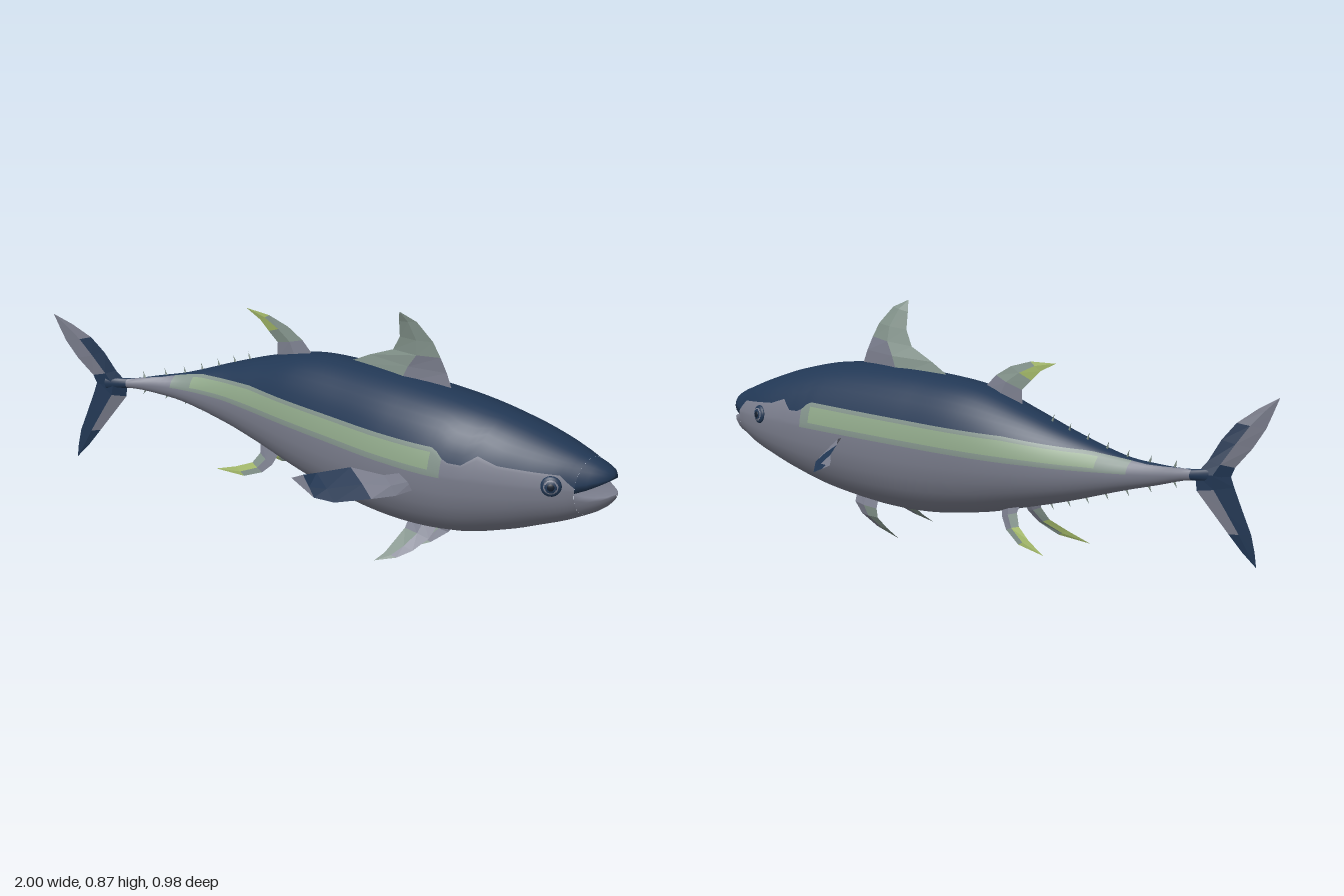
import * as THREE from 'three';

const mat = (name, color) => Object.assign(new THREE.MeshStandardMaterial({ color }), { name });
const navy = mat('navy', 0x213754);
const grey = mat('belly grey', 0x7b7e8d);
const pale = mat('pale green grey', 0x82928a);
const green = mat('stripe green', 0x8ea688);
const yellow = mat('fin yellow green', 0xa2b768);
const dark = mat('pupil dark', 0x131d2c);
const MATS = [navy, grey, pale, green, yellow, dark];

const V = (x, y, z) => new THREE.Vector3(x, y, z);

// Smooth interpolation through table rows [x, a, b, ...], ascending in x
function at(rows, x) {
  let i = 0;
  while (i < rows.length - 2 && x > rows[i + 1][0]) i++;
  const p = rows[i], q = rows[i + 1], o = rows[i - 1] || p, r = rows[i + 2] || q;
  const d = q[0] - p[0], t = (x - p[0]) / d, t2 = t * t, t3 = t2 * t;
  return p.slice(1).map((_, k) => {
    const c = k + 1;
    const m0 = (q[c] - o[c]) / (q[0] - o[0]) * d, m1 = (r[c] - p[c]) / (r[0] - p[0]) * d;
    return (2 * t3 - 3 * t2 + 1) * p[c] + (t3 - 2 * t2 + t) * m0 + (3 * t2 - 2 * t3) * q[c] + (t3 - t2) * m1;
  });
}
function linear(rows, x) {
  let i = 0;
  while (i < rows.length - 2 && x > rows[i + 1][0]) i++;
  const [a, b] = [rows[i], rows[i + 1]];
  return THREE.MathUtils.lerp(a[1], b[1], THREE.MathUtils.clamp((x - a[0]) / (b[0] - a[0]), 0, 1));
}

// Skin over closed rings; pick(i, j) gives the material of each cell
function loft(name, rings, pick, flat = false) {
  const n = rings[0].length, pts = rings.flat(), tris = MATS.map(() => []);
  for (let i = 0; i < rings.length - 1; i++) for (let j = 0; j < n; j++) {
    const a = i * n + j, b = i * n + (j + 1) % n, c = a + n, d = b + n;
    tris[MATS.indexOf(pick(i, j))].push([a, b, c], [b, d, c]);
  }
  // Turn the faces outward
  const o = pts[0], vec = (k) => pts[k].clone().sub(o);
  const volume = tris.flat().reduce((s, [a, b, c]) => s + vec(a).dot(vec(b).cross(vec(c))), 0);
  let geo = new THREE.BufferGeometry().setFromPoints(pts);
  const index = [], used = [];
  tris.forEach((list, m) => {
    if (!list.length) return;
    geo.addGroup(index.length, list.length * 3, used.length);
    used.push(MATS[m]);
    list.forEach(([a, b, c]) => index.push(...(volume < 0 ? [a, c, b] : [a, b, c])));
  });
  geo.setIndex(index);
  if (flat) geo = geo.toNonIndexed();
  geo.computeVertexNormals();
  const mesh = new THREE.Mesh(geo, used);
  mesh.name = name;
  return mesh;
}

// Lens-section fin; stations are [lead, trail, leadColour, trailColour] from base to tip
function fin(name, stations, thick, side) {
  const rings = stations.map(([l, t], i) => {
    const a = V(...l), b = V(...t), m = a.clone().lerp(b, 0.45);
    const off = side.clone().normalize().multiplyScalar(thick * (1 - i / (stations.length - 1)));
    return [a, m.clone().add(off), b, m.clone().sub(off)];
  });
  return loft(name, rings, (i, j) => stations[i][j === 0 || j === 3 ? 2 : 3], true);
}

// Body rows: x, top, bottom, centre z, half width
const BODY = [
  [-0.86, 0.415, 0.37, 0.36, 0.012], [-0.79, 0.412, 0.374, 0.295, 0.02], [-0.72, 0.425, 0.355, 0.228, 0.032],
  [-0.63, 0.446, 0.33, 0.165, 0.052], [-0.47, 0.508, 0.277, 0.088, 0.096], [-0.31, 0.567, 0.23, 0.044, 0.132],
  [-0.12, 0.622, 0.178, 0.014, 0.16], [0.1, 0.638, 0.14, -0.014, 0.18], [0.33, 0.64, 0.132, -0.043, 0.196],
  [0.54, 0.624, 0.155, -0.082, 0.194], [0.7, 0.586, 0.202, -0.133, 0.167], [0.8, 0.549, 0.242, -0.17, 0.141],
  [0.87, 0.52, 0.272, -0.195, 0.113], [0.92, 0.496, 0.299, -0.214, 0.086]];
// Lower edge of the dark back
const BACK = [[-0.8, 0.41], [-0.7, 0.425], [-0.55, 0.462], [-0.3, 0.488], [0.53, 0.498], [0.57, 0.46],
  [0.62, 0.458], [0.66, 0.492], [0.72, 0.47], [0.88, 0.455], [0.92, 0.415]];

function body() {
  const steps = [8, 1, 2, 1, 7], bandOf = steps.flatMap((n, b) => Array(n).fill(b));
  const N = 89, xs = Array.from({ length: N + 1 }, (_, i) => -0.86 + 1.78 * i / N);
  const half = bandOf.length;
  const rings = xs.map((x) => {
    const [top, bot, zc, w] = at(BODY, x), yc = (top + bot) / 2, h = (top - bot) / 2;
    const b = linear(BACK, x), low = linear([[-0.75, 0.39], [-0.4, 0.402], [0.5, 0.405]], x);
    const cuts = [b, b - (b - low) * 0.16, low + (b - low) * 0.22, low]
      .map((y) => Math.asin(THREE.MathUtils.clamp((y - yc) / h, -1, 1)));
    const edges = [Math.PI / 2, ...cuts, -Math.PI / 2], angles = [];
    steps.forEach((n, k) => {
      for (let s = 0; s < n; s++) angles.push(THREE.MathUtils.lerp(edges[k], edges[k + 1], s / n));
    });
    angles.push(-Math.PI / 2);
    const left = angles.map((a) => V(x, yc + h * Math.sin(a), zc + w * Math.cos(a)));
    const right = left.slice(1, -1).reverse().map((p) => V(x, p.y, 2 * zc - p.z));
    return [...left, ...right];
  });
  return loft('body', rings, (i, j) => {
    const x = (xs[i] + xs[i + 1]) / 2, band = bandOf[j < half ? j : 2 * half - 1 - j];
    if (x < -0.8 || band === 0) return navy;
    if (band === 4 || x > 0.55 || x < -0.66) return grey;
    return band === 2 && x < 0.52 && x > -0.58 ? green : pale;
  });
}

// Half-dome jaw; rows are x, lip y, outer y, centre z, half width
function jaw(name, rows, material) {
  const rings = rows.map(([x, lip, out, zc, w]) => Array.from({ length: 13 }, (_, k) => {
    const a = Math.PI * k / 12;
    return V(x, lip + (out - lip) * Math.sin(a), zc + w * Math.cos(a));
  }));
  return loft(name, rings, () => material);
}

function eye(name, pos, normal) {
  const g = new THREE.Group();
  g.name = name;
  [[0.034, navy, 0.4, 0], [0.028, grey, 0.38, 0.004], [0.025, navy, 0.42, 0.005], [0.013, dark, 0.4, 0.012]].forEach(([r, m, flat, d], i) => {
    const s = new THREE.Mesh(new THREE.SphereGeometry(r, 20, 12), m);
    s.name = ['eyeRim', 'eyeRing', 'iris', 'pupil'][i];
    s.scale.z = flat;
    s.position.z = d;
    g.add(s);
  });
  g.position.copy(pos);
  g.quaternion.setFromUnitVectors(V(0, 0, 1), normal.normalize());
  return g;
}

export function createModel() {
  const fish = new THREE.Group();
  fish.name = 'fish';
  fish.add(body());

  // Jaws with an open mouth between them
  fish.add(jaw('upperJaw', [[0.92, 0.3975, 0.496, -0.214, 0.086], [0.945, 0.408, 0.484, -0.226, 0.07],
    [0.968, 0.421, 0.47, -0.236, 0.05], [0.982, 0.43, 0.457, -0.242, 0.027], [0.987, 0.44, 0.444, -0.245, 0.001]], navy));
  fish.add(jaw('lowerJaw', [[0.92, 0.3975, 0.299, -0.214, 0.086], [0.945, 0.384, 0.314, -0.226, 0.069],
    [0.97, 0.38, 0.335, -0.237, 0.047], [0.987, 0.381, 0.356, -0.243, 0.025], [0.996, 0.382, 0.376, -0.246, 0.001]], grey));

  fish.add(eye('leftEye', V(0.865, 0.42, -0.082), V(0.57, 0.08, 0.8)));
  fish.add(eye('rightEye', V(0.78, 0.42, -0.302), V(0.08, 0.08, -1)));

  // Tail lobes lie in one slanted plane
  const tp = (x, y) => [x, y, 0.305 - 0.86 * (x + 0.8)], tailSide = V(0.86, 0, 1);
  fish.add(fin('upperTailLobe', [[tp(-0.81, 0.4), tp(-0.89, 0.385), navy, navy], [tp(-0.835, 0.44), tp(-0.9, 0.42), navy, grey],
    [tp(-0.865, 0.51), tp(-0.94, 0.485), navy, grey], [tp(-0.9, 0.567), tp(-0.97, 0.55), grey, grey],
    [tp(-0.95, 0.615), tp(-0.985, 0.6), grey, grey], [tp(-1, 0.652), tp(-1, 0.652), grey, grey]], 0.012, tailSide));
  fish.add(fin('lowerTailLobe', [[tp(-0.805, 0.395), tp(-0.89, 0.395), navy, navy], [tp(-0.81, 0.34), tp(-0.9, 0.355), grey, navy],
    [tp(-0.85, 0.27), tp(-0.92, 0.285), grey, navy], [tp(-0.89, 0.2), tp(-0.945, 0.2), navy, navy],
    [tp(-0.925, 0.14), tp(-0.955, 0.14), navy, navy], [tp(-0.96, 0.09), tp(-0.96, 0.09), navy, navy]], 0.012, tailSide));

  // Dorsal fins
  fish.add(fin('frontDorsalFin', [[[0.46, 0.61, -0.068], [0.02, 0.62, -0.008], grey, pale], [[0.43, 0.68, -0.065], [0.12, 0.672, -0.02], grey, pale],
    [[0.41, 0.73, -0.055], [0.22, 0.715, -0.03], pale, pale], [[0.385, 0.78, -0.045], [0.255, 0.77, -0.025], pale, pale],
    [[0.335, 0.842, -0.02], [0.265, 0.83, -0.01], pale, pale], [[0.28, 0.87, 0.005], [0.28, 0.87, 0.005], pale, pale]], 0.026, V(0.17, 0, 1)));
  fish.add(fin('rearDorsalFin', [[[-0.1, 0.6, 0.018], [-0.28, 0.56, 0.04], grey, grey], [[-0.16, 0.66, 0.028], [-0.275, 0.625, 0.04], pale, pale],
    [[-0.22, 0.697, 0.04], [-0.31, 0.66, 0.05], pale, yellow], [[-0.3, 0.722, 0.055], [-0.345, 0.695, 0.058], yellow, yellow],
    [[-0.405, 0.727, 0.07], [-0.405, 0.727, 0.07], yellow, yellow]], 0.012, V(0.15, 0, 1)));

  // Paired anal fins, mirrored about the body's curved midline
  for (const s of [1, -1]) {
    const p = (x, y, out) => [x, y, 0.055 - 0.05 * (x + 0.3) + s * out];
    fish.add(fin(s > 0 ? 'leftAnalFin' : 'rightAnalFin', [[p(-0.21, 0.25, 0.04), p(-0.31, 0.27, 0.04), grey, grey],
      [p(-0.235, 0.19, 0.06), p(-0.3, 0.215, 0.055), grey, pale], [p(-0.27, 0.155, 0.075), p(-0.325, 0.175, 0.07), pale, yellow],
      [p(-0.345, 0.122, 0.092), p(-0.39, 0.145, 0.09), yellow, yellow], [p(-0.475, 0.115, 0.108), p(-0.475, 0.115, 0.108), yellow, yellow]],
    0.008, V(0.1, 0.5 * s, 1)));
  }

  // Pelvic fins
  fish.add(fin('leftPelvicFin', [[[0.46, 0.16, -0.005], [0.34, 0.16, 0.0], grey, grey], [[0.45, 0.12, 0.025], [0.345, 0.125, 0.03], grey, pale],
    [[0.42, 0.08, 0.07], [0.34, 0.09, 0.075], grey, pale], [[0.38, 0.052, 0.105], [0.33, 0.055, 0.11], pale, pale],
    [[0.31, 0.028, 0.14], [0.31, 0.028, 0.14], pale, pale]], 0.007, V(0, 0.8, 1)));
  fish.add(fin('rightPelvicFin', [[[0.45, 0.17, -0.1], [0.33, 0.17, -0.095], grey, grey], [[0.445, 0.125, -0.117], [0.325, 0.12, -0.112], grey, pale],
    [[0.415, 0.085, -0.11], [0.325, 0.085, -0.107], grey, pale], [[0.365, 0.04, -0.078], [0.31, 0.045, -0.078], pale, pale],
    [[0.29, 0.003, -0.04], [0.29, 0.003, -0.04], pale, pale]], 0.007, V(0, 0.3, 1)));

  // Pectoral fins
  fish.add(fin('leftPectoralFin', [[[0.47, 0.338, 0.11], [0.43, 0.385, 0.11], grey, grey], [[0.455, 0.335, 0.19], [0.4, 0.39, 0.19], grey, grey],
    [[0.425, 0.34, 0.27], [0.33, 0.42, 0.27], navy, navy], [[0.37, 0.345, 0.38], [0.29, 0.422, 0.38], navy, navy],
    [[0.33, 0.365, 0.43], [0.28, 0.428, 0.43], grey, grey], [[0.275, 0.43, 0.475], [0.275, 0.43, 0.475], grey, grey]], 0.008, V(1, 1, 0.3)));
  fish.add(fin('rightPectoralFin', [[[0.42, 0.345, -0.22], [0.37, 0.39, -0.22], grey, grey], [[0.39, 0.34, -0.285], [0.33, 0.4, -0.275], grey, grey],
    [[0.325, 0.335, -0.375], [0.24, 0.405, -0.345], navy, navy], [[0.215, 0.332, -0.462], [0.15, 0.4, -0.438], navy, grey],
    [[0.14, 0.36, -0.482], [0.1, 0.395, -0.472], grey, grey], [[0.07, 0.388, -0.498], [0.07, 0.388, -0.498], grey, grey]], 0.008, V(-0.5, 1, -0.5)));

  // Finlets along the tail, above and below
  const spike = new THREE.ConeGeometry(0.007, 0.034, 5);
  for (let i = 0; i < 7; i++) for (const s of [1, -1]) {
    const x = -0.4 - i * 0.06, [top, bot, zc] = at(BODY, x);
    const f = new THREE.Mesh(spike, pale);
    f.name = s > 0 ? 'upperFinlet' : 'lowerFinlet';
    f.position.set(x, s > 0 ? top + 0.01 : bot - 0.006, zc);
    f.rotation.z = s > 0 ? 0.35 : Math.PI - 0.6;
    f.scale.z = 0.5;
    fish.add(f);
  }
  return fish;
}
